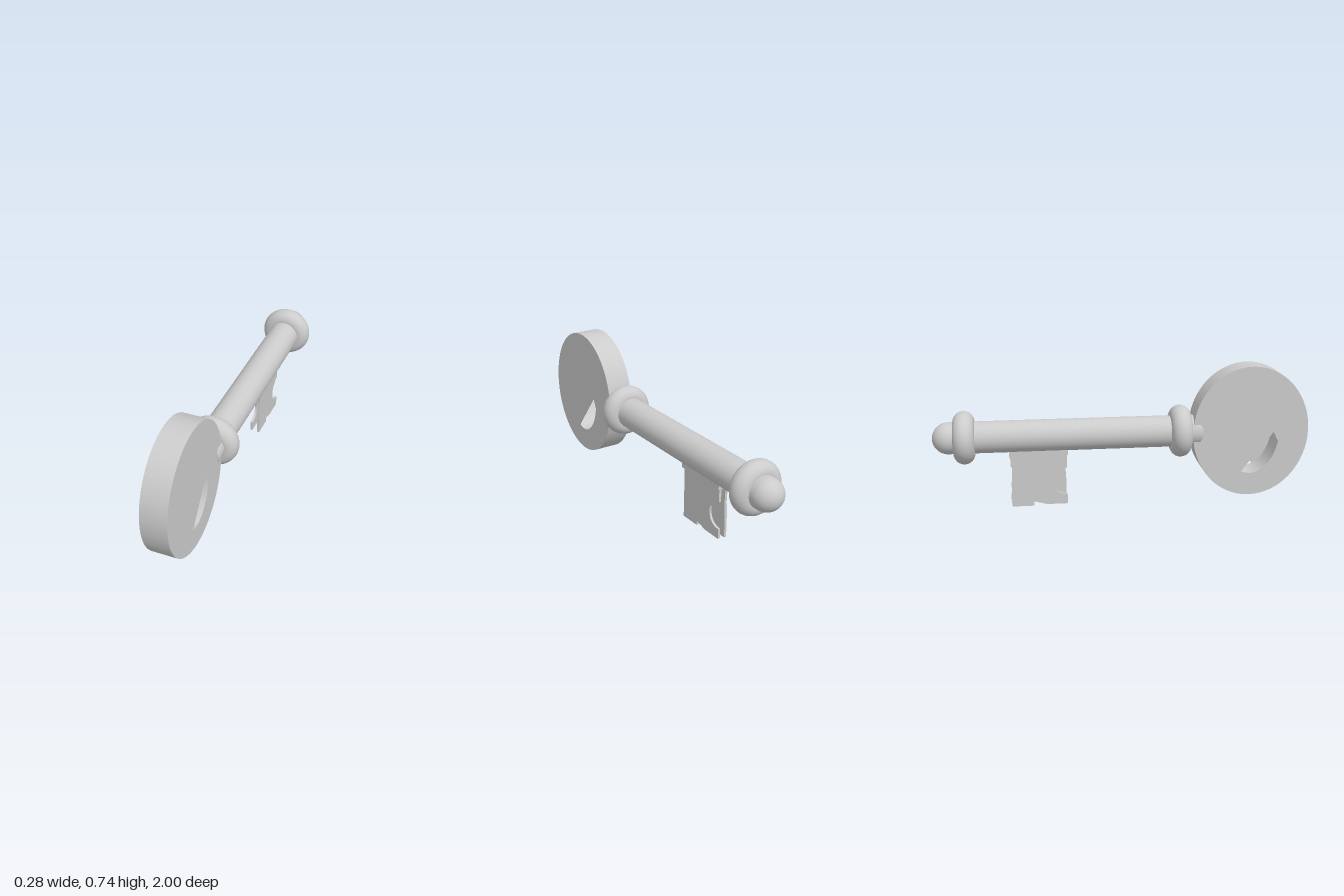
import * as THREE from 'three';

const AXIS_Y = 0.385;
const material = new THREE.MeshStandardMaterial({ color: 0xcccccc, side: THREE.DoubleSide });

function add(parent, name, geometry, x = 0, y = 0, z = 0) {
  const mesh = new THREE.Mesh(geometry, material);
  mesh.name = name;
  mesh.position.set(x, y, z);
  parent.add(mesh);
  return mesh;
}

// Oval disc with a ring wall inside; each face leaves one wedge of the hole open
function createBow() {
  const bow = new THREE.Group();
  bow.name = 'bow';
  bow.position.set(0, AXIS_Y, 0.685);
  const outer = [0.315, 0.355], inner = [0.155, 0.232], half = 0.07;

  for (const [name, [rz, ry]] of [['bowRim', outer], ['bowInnerWall', inner]]) {
    const wall = new THREE.CylinderGeometry(1, 1, 2 * half, 64, 1, true);
    wall.rotateZ(Math.PI / 2).scale(1, ry, rz);
    add(bow, name, wall);
  }

  const face = new THREE.Shape().absellipse(0, 0, outer[0], outer[1], 0, Math.PI * 2);
  const wedge = [new THREE.Vector2(0.125, -0.005)];
  for (let i = 0; i <= 16; i++) {
    const a = THREE.MathUtils.degToRad(-14 - (i / 16) * 94);
    wedge.push(new THREE.Vector2(inner[0] * Math.cos(a), inner[1] * Math.sin(a)));
  }
  face.holes.push(new THREE.Path(wedge));
  const faceGeometry = new THREE.ShapeGeometry(face, 32);
  for (const side of [1, -1]) {
    const mesh = add(bow, side > 0 ? 'bowFaceLeft' : 'bowFaceRight', faceGeometry, side * half);
    mesh.rotation.y = side * Math.PI / 2;
  }
  return bow;
}

// Two thin notched plates, each the other turned half round, under a flange
function createBit() {
  const bit = new THREE.Group();
  bit.name = 'bit';
  bit.position.z = -0.45;
  const plate = new THREE.Shape();
  plate.moveTo(-0.147, 0);
  plate.lineTo(-0.03, 0);
  plate.lineTo(-0.03, 0.025);
  plate.lineTo(0.04, 0.006);
  plate.lineTo(0.15, 0.006);
  plate.lineTo(0.15, 0.06);
  plate.bezierCurveTo(0.1, 0.06, 0.075, 0.09, 0.075, 0.13);
  plate.quadraticCurveTo(0.075, 0.17, 0.1, 0.18);
  plate.lineTo(0.15, 0.21);
  plate.lineTo(0.15, 0.29);
  plate.lineTo(-0.147, 0.29);
  plate.lineTo(-0.142, 0.2);
  plate.lineTo(-0.147, 0.12);
  const geometry = new THREE.ExtrudeGeometry(plate, { depth: 0.013, bevelEnabled: false, curveSegments: 8 });
  for (const side of [1, -1]) {
    const mesh = add(bit, side > 0 ? 'bitPlateLeft' : 'bitPlateRight', geometry, side * 0.014);
    mesh.rotation.y = side * Math.PI / 2;
  }
  add(bit, 'bitFlange', new THREE.BoxGeometry(0.07, 0.04, 0.31), 0, 0.3, 0);
  return bit;
}

export function createModel() {
  const key = new THREE.Group();
  key.name = 'key';
  key.add(createBow(), createBit());

  // Shaft with a chamfered front end that grips the bow
  const radius = 0.084;
  const shaft = new THREE.CylinderGeometry(radius, radius, 1.327, 48, 1, true).rotateX(Math.PI / 2);
  add(key, 'shaft', shaft, 0, AXIS_Y, -0.2535);
  const end = new THREE.CylinderGeometry(0.074, radius, 0.015, 48).rotateX(Math.PI / 2);
  add(key, 'shaftEnd', end, 0, AXIS_Y, 0.4175);

  // Domed tip
  const dome = new THREE.SphereGeometry(radius, 48, 16, 0, Math.PI * 2, 0, Math.PI / 2).rotateX(-Math.PI / 2);
  add(key, 'tip', dome, 0, AXIS_Y, -0.916);

  // Rounded collars
  const collar = new THREE.TorusGeometry(0.084, 0.056, 24, 64);
  add(key, 'frontCollar', collar, 0, AXIS_Y, 0.31);
  add(key, 'rearCollar', collar, 0, AXIS_Y, -0.835);
  return key;
}
